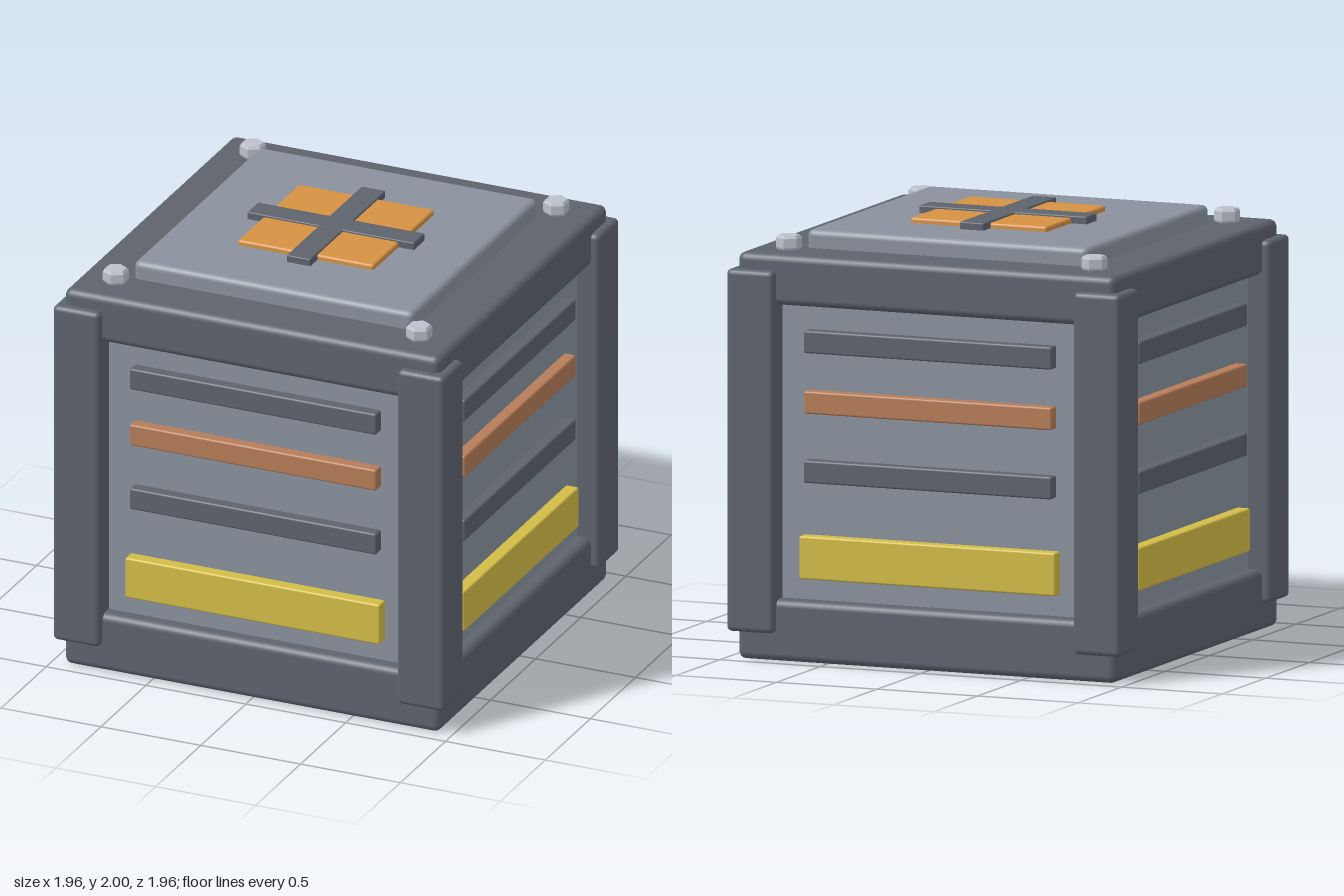
import * as THREE from 'three';
import { RoundedBoxGeometry } from 'three/addons/geometries/RoundedBoxGeometry.js';

const material = (name, color) => {
  const m = new THREE.MeshStandardMaterial({ color });
  m.name = name;
  return m;
};

export function createModel() {
  const frame = material('dark steel', 0x5d626c);
  const panel = material('light steel', 0x89919d);
  const copper = material('copper', 0xb67c58);
  const yellow = material('yellow', 0xd2bc46);
  const orange = material('orange', 0xd59244);
  const bolt = material('bolt metal', 0xbcc2ca);

  const model = new THREE.Group();
  model.name = 'crate';

  // Bevelled box of size w x d, spanning y0 to y1, centred on x and z
  const block = (parent, name, mat, w, d, y0, y1, x, z, bevel) => {
    const mesh = new THREE.Mesh(new RoundedBoxGeometry(w, y1 - y0, d, 3, bevel), mat);
    mesh.name = name;
    mesh.position.set(x, (y0 + y1) / 2, z);
    parent.add(mesh);
  };

  // Body, base and top frame
  block(model, 'core', panel, 1.74, 1.74, 0.1, 1.8, 0, 0, 0.02);
  block(model, 'base', frame, 1.88, 1.88, 0, 0.285, 0, 0, 0.035);
  block(model, 'topFrame', frame, 1.88, 1.88, 1.645, 1.88, 0, 0, 0.035);
  block(model, 'lid', panel, 1.4, 1.4, 1.82, 1.965, 0, 0, 0.03);

  // Lid emblem: orange pad under two crossed bars
  block(model, 'lidPad', orange, 0.68, 0.68, 1.94, 1.99, 0, 0, 0.012);
  block(model, 'lidBarAcross', frame, 0.835, 0.12, 1.95, 2, 0, 0, 0.006);
  block(model, 'lidBarAlong', frame, 0.12, 0.835, 1.95, 1.999, 0, 0, 0.006);

  // Hexagonal bolt head with chamfered rims
  const profile = [[0, 1.87], [0.05, 1.87], [0.06, 1.89], [0.06, 1.932], [0.05, 1.945], [0, 1.945]];
  const boltGeometry = new THREE.LatheGeometry(
    profile.map(([r, y]) => new THREE.Vector2(r, y)), 6).toNonIndexed();
  boltGeometry.computeVertexNormals();

  // Corner posts and bolts
  for (const sx of [-1, 1]) {
    for (const sz of [-1, 1]) {
      block(model, 'cornerPost', frame, 0.235, 0.235, 0.13, 1.805, sx * 0.8625, sz * 0.8625, 0.025);
      const head = new THREE.Mesh(boltGeometry, bolt);
      head.name = 'bolt';
      head.position.set(sx * 0.76, 0, sz * 0.76);
      model.add(head);
    }
  }

  // Slats repeated on all four sides
  for (let i = 0; i < 4; i++) {
    const side = new THREE.Group();
    side.name = 'sideSlats';
    side.rotation.y = i * Math.PI / 2;
    block(side, 'upperSlat', frame, 1.235, 0.1, 1.43, 1.535, 0, 0.875, 0.01);
    block(side, 'copperSlat', copper, 1.235, 0.1, 1.15, 1.255, 0, 0.875, 0.01);
    block(side, 'lowerSlat', frame, 1.235, 0.1, 0.83, 0.935, 0, 0.875, 0.01);
    block(side, 'yellowStripe', yellow, 1.275, 0.1, 0.385, 0.585, 0, 0.88, 0.01);
    model.add(side);
  }

  return model;
}
